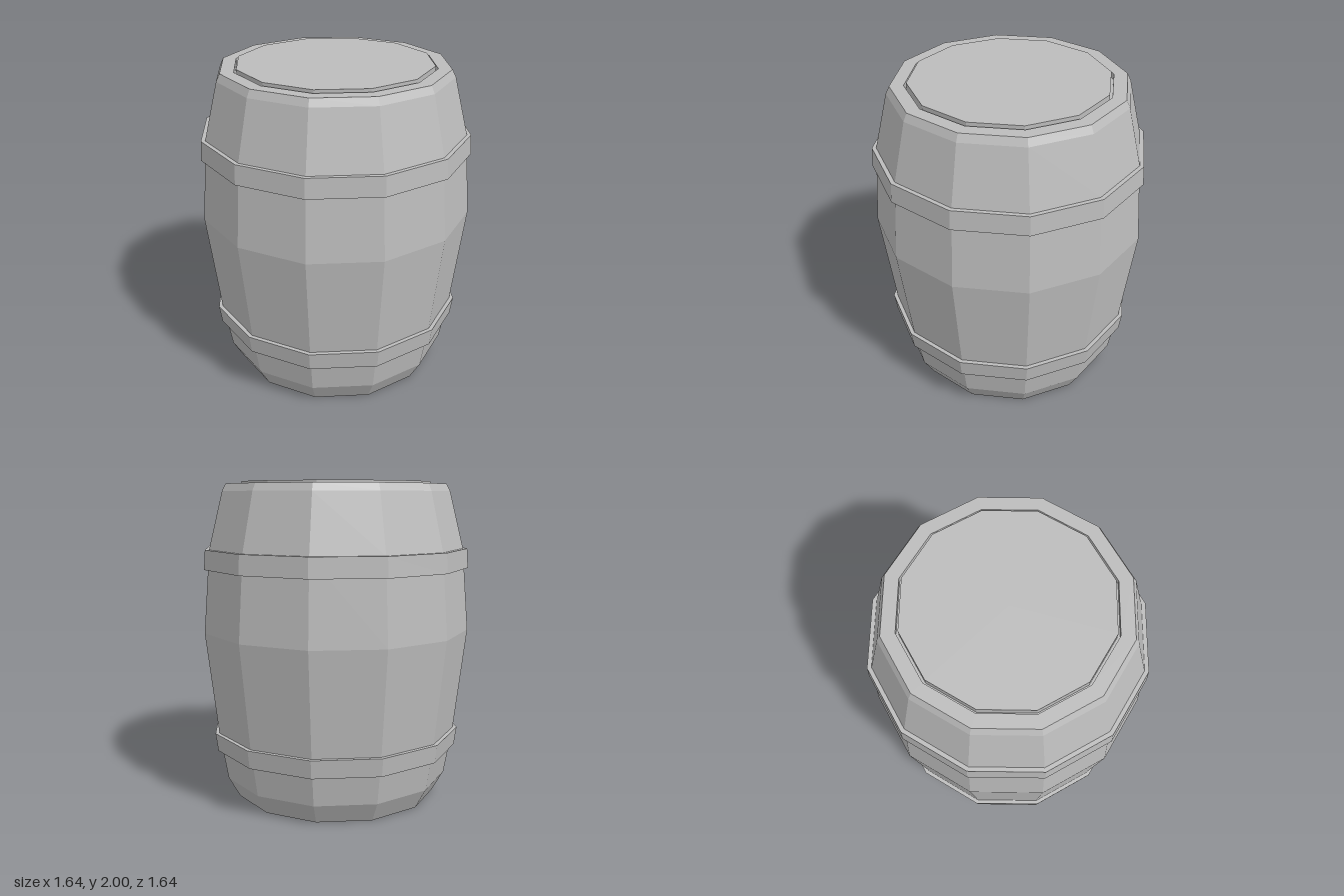
import * as THREE from 'three';

const SIDES = 12;
const FLAT = Math.cos(Math.PI / SIDES); // turns a flat-to-centre distance into a corner radius

const grey = new THREE.MeshStandardMaterial({ color: 0xbcbcbc });
grey.name = 'plain grey';

// Faceted twelve-sided turning; each point is [distance to flat, height]
function turned(name, points) {
  const profile = points.map(([d, y]) => new THREE.Vector2(d / FLAT, y));
  const lathe = new THREE.LatheGeometry(profile, SIDES, Math.PI / SIDES);
  const geometry = lathe.toNonIndexed();
  geometry.computeVertexNormals();
  const mesh = new THREE.Mesh(geometry, grey);
  mesh.name = name;
  return mesh;
}

// Hoop hugging the barrel, with its own slope
function hoop(name, y0, y1, outer0, outer1, inner0, inner1) {
  return turned(name, [[inner0, y0], [outer0, y0], [outer1, y1], [inner1, y1]]);
}

export function createModel() {
  const barrel = new THREE.Group();
  barrel.name = 'barrel';

  // Bulging body with a flat rim and a narrow groove inside it
  barrel.add(turned('body', [
    [0, 0], [0.63, 0], [0.7, 0.13], [0.75, 0.43], [0.822, 1.08], [0.782, 1.59],
    [0.697, 1.94], [0.675, 1.985], [0.595, 1.985], [0.595, 1.95], [0.57, 1.95],
  ]));

  // Lid standing just proud of the rim
  barrel.add(turned('lid', [[0.58, 1.94], [0.58, 2], [0, 2]]));

  // Two hoops
  barrel.add(hoop('upperHoop', 1.47, 1.59, 0.815, 0.807, 0.78, 0.77));
  barrel.add(hoop('lowerHoop', 0.32, 0.435, 0.76, 0.775, 0.72, 0.74));

  return barrel;
}
